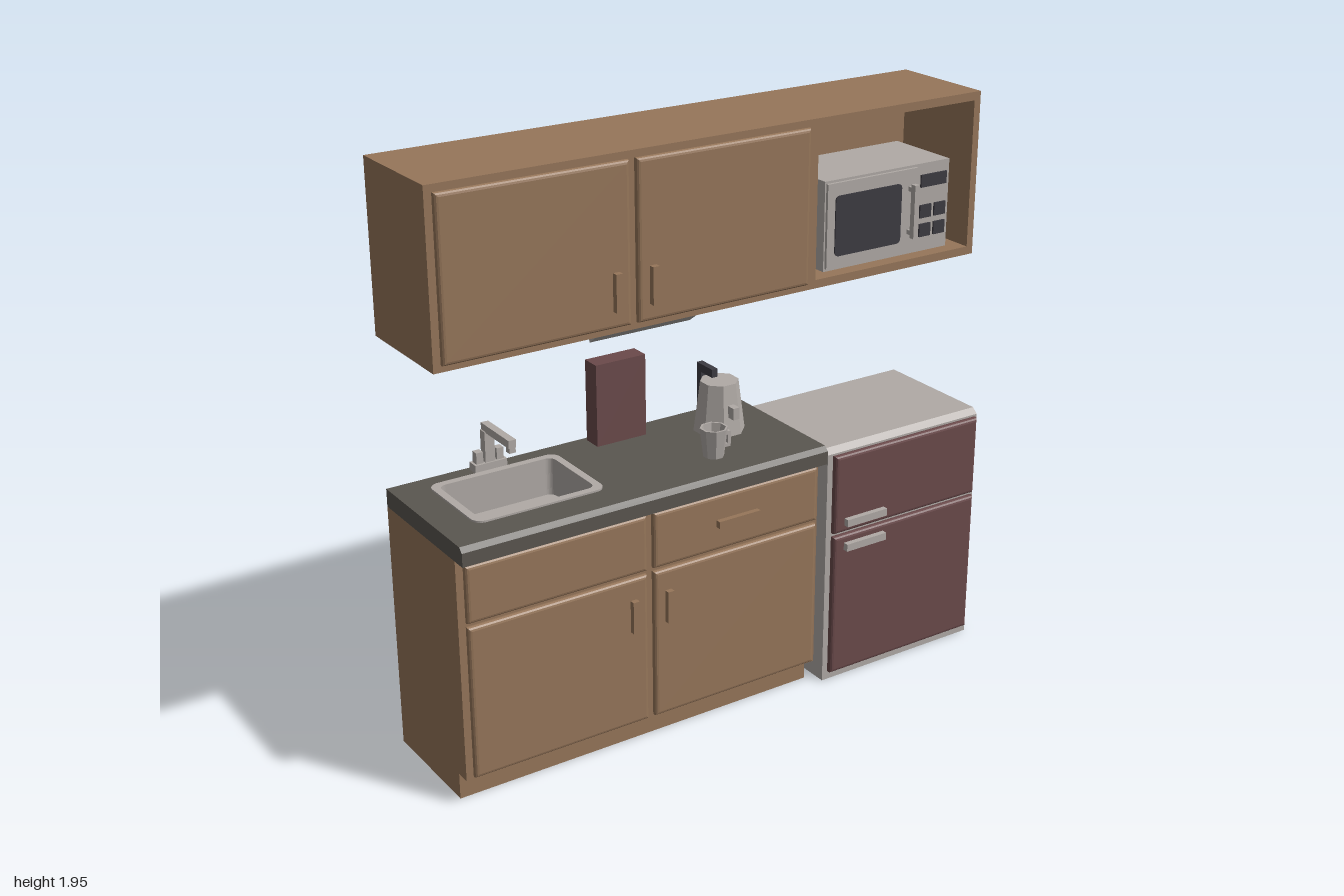
import * as THREE from 'three';

const mat = (name, color) => {
  const m = new THREE.MeshStandardMaterial({ color });
  m.name = name;
  return m;
};

export function createModel() {
  const wood = mat('wood', 0x96765a);
  const steel = mat('light grey', 0xb0aaa6);
  const maroon = mat('maroon', 0x6b4a4b);
  const stone = mat('worktop grey', 0x5a5650);
  const dark = mat('dark grey', 0x3d3b42);

  const model = new THREE.Group();
  model.name = 'kitchenette';
  const group = (name) => {
    const g = new THREE.Group();
    g.name = name;
    model.add(g);
    return g;
  };
  const add = (parent, name, geo, material) => {
    const m = new THREE.Mesh(geo, material);
    m.name = name;
    parent.add(m);
    return m;
  };
  // Box given by its limits
  const box = (parent, name, material, x0, x1, y0, y1, z0, z1) => {
    const geo = new THREE.BoxGeometry(x1 - x0, y1 - y0, z1 - z0);
    geo.translate((x0 + x1) / 2, (y0 + y1) / 2, (z0 + z1) / 2);
    return add(parent, name, geo, material);
  };
  // Rectangle outline with optional rounded corners
  const rect = (x0, x1, y0, y1, r = 0, target = new THREE.Shape()) => {
    if (!r) {
      target.moveTo(x0, y0).lineTo(x1, y0).lineTo(x1, y1).lineTo(x0, y1).closePath();
      return target;
    }
    target.absarc(x1 - r, y0 + r, r, -Math.PI / 2, 0);
    target.absarc(x1 - r, y1 - r, r, 0, Math.PI / 2);
    target.absarc(x0 + r, y1 - r, r, Math.PI / 2, Math.PI);
    target.absarc(x0 + r, y0 + r, r, Math.PI, Math.PI * 1.5);
    target.closePath();
    return target;
  };
  // Horizontal slab with a hole; limits are [x0, x1, z0, z1, radius]
  const slab = (parent, name, material, o, h, y0, y1) => {
    const shape = rect(o[0], o[1], -o[3], -o[2], o[4]);
    shape.holes.push(rect(h[0], h[1], -h[3], -h[2], h[4], new THREE.Path()));
    const geo = new THREE.ExtrudeGeometry(shape, { depth: y1 - y0, bevelEnabled: false, curveSegments: 4 });
    geo.rotateX(-Math.PI / 2).translate(0, y0, 0);
    return add(parent, name, geo, material);
  };
  // Side profile of [z, y] points swept along x
  const profile = (parent, name, material, pts, x0, x1) => {
    const shape = new THREE.Shape(pts.map(([z, y]) => new THREE.Vector2(z, y)));
    const geo = new THREE.ExtrudeGeometry(shape, { depth: x1 - x0, bevelEnabled: false });
    geo.rotateY(-Math.PI / 2).translate(x1, 0, 0);
    return add(parent, name, geo, material);
  };
  // Door panel with rounded front edges
  const panel = (parent, name, material, x0, x1, y0, y1, z0, z1) => {
    const b = 0.012;
    const geo = new THREE.ExtrudeGeometry(rect(x0 + b, x1 - b, y0 + b, y1 - b), {
      depth: z1 - z0 - b * 2, bevelThickness: b, bevelSize: b, bevelSegments: 3,
    });
    geo.translate(0, 0, z0 + b);
    return add(parent, name, geo, material);
  };
  const faceted = (geo) => {
    const g = geo.toNonIndexed();
    g.computeVertexNormals();
    return g;
  };
  const columns = [[-0.98, -0.355], [-0.33, 0.3]];
  const pulls = [[-0.42, -0.397], [-0.292, -0.269]];

  // Wall cabinet with an open niche on its left
  const upper = group('wallCabinet');
  box(upper, 'wallCabinetBody', wood, -1, 0.345, 1.4, 1.95, -0.25, 0.13);
  box(upper, 'nicheSide', wood, 0.975, 1, 1.4, 1.95, -0.25, 0.13);
  box(upper, 'nicheFloor', wood, 0.345, 0.975, 1.4, 1.428, -0.25, 0.13);
  box(upper, 'nicheTop', wood, 0.345, 0.975, 1.922, 1.95, -0.25, 0.13);
  box(upper, 'nicheBack', wood, 0.345, 0.975, 1.428, 1.922, -0.25, -0.22);
  columns.forEach(([x0, x1], i) => {
    panel(upper, 'wallCabinetDoor', wood, x0, x1, 1.425, 1.93, 0.13, 0.157);
    box(upper, 'wallDoorHandle', wood, ...pulls[i], 1.48, 1.6, 0.157, 0.177);
  });
  profile(upper, 'underCabinetLight', steel, [[0.125, 1.4], [0.08, 1.4], [0.08, 1.368]], -0.46, -0.1);

  // Microwave
  const oven = group('microwave');
  box(oven, 'microwaveBody', steel, 0.405, 0.915, 1.432, 1.73, -0.18, 0.09);
  box(oven, 'microwaveDoor', steel, 0.41, 0.775, 1.442, 1.722, 0.09, 0.1);
  const glass = new THREE.ExtrudeGeometry(rect(0.44, 0.708, 1.48, 1.68, 0.015), { depth: 0.004, bevelEnabled: false, curveSegments: 3 });
  glass.translate(0, 0, 0.1);
  add(oven, 'microwaveWindow', glass, dark);
  box(oven, 'microwaveHandle', steel, 0.737, 0.755, 1.495, 1.675, 0.115, 0.135);
  for (const y of [1.505, 1.65]) box(oven, 'handleMount', steel, 0.737, 0.755, y, y + 0.015, 0.1, 0.115);
  box(oven, 'microwaveDisplay', dark, 0.795, 0.902, 1.65, 1.692, 0.09, 0.096);
  for (const x of [0.795, 0.855])
    for (const y of [1.482, 1.546]) box(oven, 'microwaveButton', dark, x, x + 0.047, y, y + 0.044, 0.09, 0.096);

  // Base cabinet, hollow near the top for the basin
  const base = group('baseCabinet');
  const hole = [-0.88, -0.45, -0.18, 0.12, 0.03];
  box(base, 'toeKick', wood, -1, 0.32, 0, 0.09, -0.25, 0.15);
  box(base, 'baseCabinetBody', wood, -1, 0.32, 0.09, 0.77, -0.25, 0.2);
  slab(base, 'baseCabinetRim', wood, [-1, 0.32, -0.25, 0.2, 0], hole, 0.77, 0.84);
  columns.forEach(([x0, x1], i) => {
    panel(base, 'baseCabinetDoor', wood, x0, x1, 0.105, 0.622, 0.2, 0.227);
    panel(base, 'drawerFront', wood, x0, x1, 0.635, 0.825, 0.2, 0.227);
    box(base, 'baseDoorHandle', wood, ...pulls[i], 0.44, 0.55, 0.227, 0.245);
  });
  box(base, 'drawerHandle', wood, -0.098, 0.06, 0.718, 0.742, 0.227, 0.245);

  // Worktop with a chamfered front edge
  const top = group('worktop');
  slab(top, 'worktopSlab', stone, [-1, 0.32, -0.25, 0.23, 0], hole, 0.84, 0.9);
  profile(top, 'worktopNose', stone, [[0.23, 0.84], [0.25, 0.84], [0.25, 0.885], [0.235, 0.9], [0.23, 0.9]], -1, 0.32);

  // Sink and tap
  const sink = group('sink');
  const inner = [-0.865, -0.465, -0.165, 0.105, 0.025];
  slab(sink, 'sinkRim', steel, [-0.89, -0.44, -0.19, 0.13, 0.035], inner, 0.9, 0.906);
  slab(sink, 'sinkWalls', steel, hole, inner, 0.775, 0.9);
  box(sink, 'sinkFloor', steel, -0.875, -0.455, 0.771, 0.78, -0.175, 0.115);
  const tap = group('tap');
  box(tap, 'tapBase', steel, -0.72, -0.608, 0.9, 0.927, -0.235, -0.195);
  box(tap, 'tapPost', steel, -0.681, -0.647, 0.927, 1.03, -0.23, -0.2);
  box(tap, 'tapSpout', steel, -0.677, -0.651, 1.027, 1.053, -0.23, -0.05);
  box(tap, 'tapNozzle', steel, -0.675, -0.653, 1.01, 1.027, -0.072, -0.05);
  for (const x of [-0.7, -0.628]) box(tap, 'tapKnob', steel, x - 0.012, x + 0.012, 0.927, 0.965, -0.228, -0.202);

  // Storage box
  box(model, 'storageBox', maroon, -0.295, -0.11, 0.9, 1.18, -0.232, -0.165);

  // Mug
  const mug = group('mug');
  const mugProfile = [[0, 0], [0.034, 0], [0.046, 0.098], [0.039, 0.098], [0.03, 0.012], [0, 0.012]];
  const mugGeo = faceted(new THREE.LatheGeometry(mugProfile.map((p) => new THREE.Vector2(...p)), 8, Math.PI / 8));
  add(mug, 'mugCup', mugGeo.translate(-0.023, 0.9, 0.1), steel);
  for (const y of [0.922, 0.963]) box(mug, 'mugHandleArm', steel, 0.01, 0.038, y, y + 0.012, 0.093, 0.107);
  box(mug, 'mugHandleGrip', steel, 0.027, 0.038, 0.934, 0.963, 0.093, 0.107);

  // Kettle
  const kettle = group('kettle');
  const kettleGeo = faceted(new THREE.CylinderGeometry(0.064, 0.086, 0.172, 8, 1, false, Math.PI / 8));
  add(kettle, 'kettleBody', kettleGeo.translate(0.117, 0.986, -0.075), steel);
  box(kettle, 'kettleSpout', steel, 0.105, 0.129, 0.965, 1.005, -0.02, 0.025);
  box(kettle, 'kettleHandleTop', dark, 0.106, 0.128, 1.072, 1.1, -0.19, -0.1);
  box(kettle, 'kettleHandleGrip', dark, 0.106, 0.128, 0.955, 1.072, -0.19, -0.165);

  // Fridge
  const fridge = group('fridge');
  profile(fridge, 'fridgeBody', steel, [[-0.25, 0], [0.2, 0], [0.2, 0.842], [0.18, 0.86], [-0.25, 0.86]], 0.36, 1);
  panel(fridge, 'freezerDoor', maroon, 0.375, 0.982, 0.56, 0.84, 0.2, 0.228);
  panel(fridge, 'fridgeDoor', maroon, 0.375, 0.982, 0.035, 0.548, 0.2, 0.228);
  for (const y of [0.496, 0.586]) box(fridge, 'fridgeHandle', steel, 0.415, 0.58, y, y + 0.026, 0.228, 0.247);

  return model;
}
